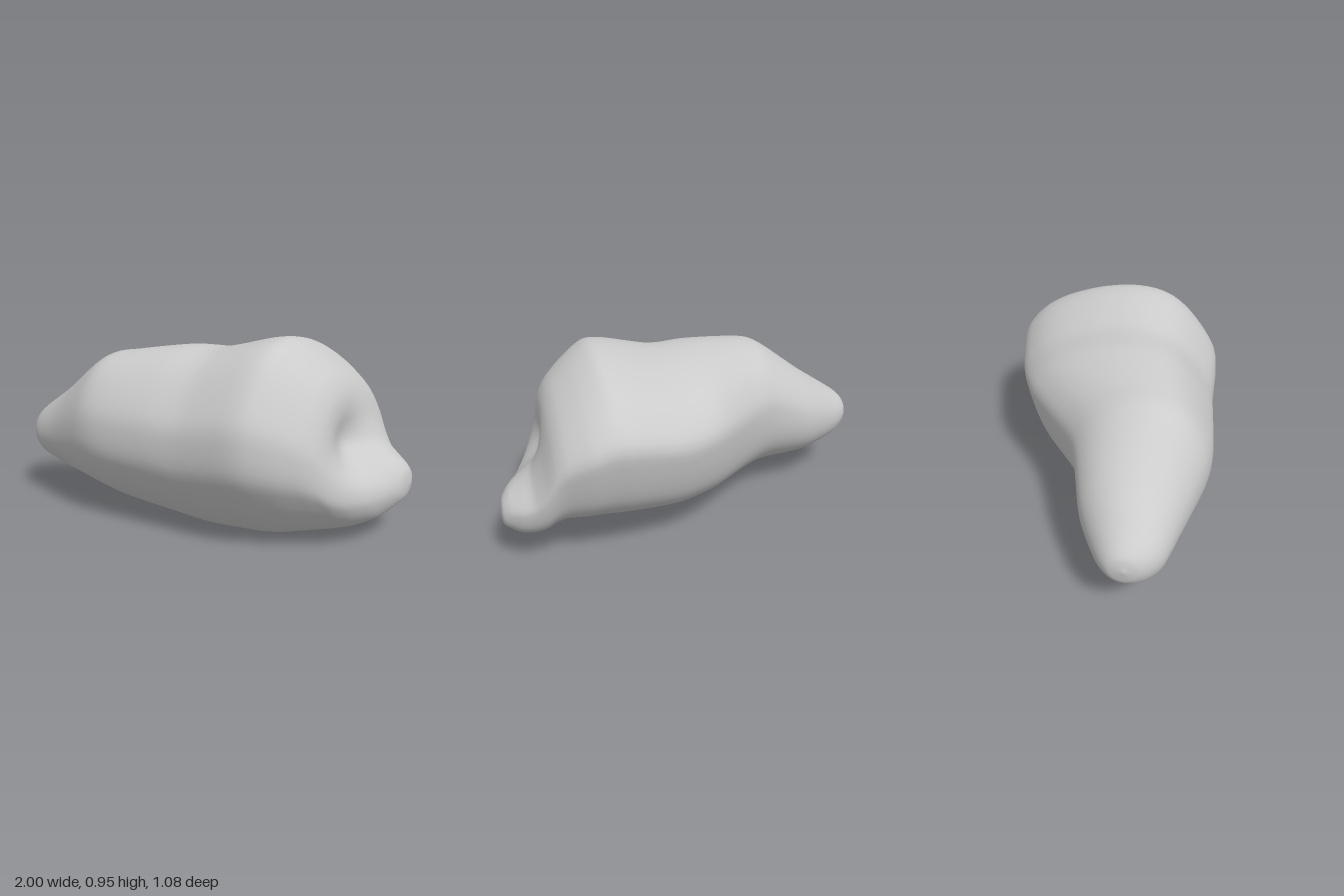
import * as THREE from 'three';
import { mergeVertices } from 'three/addons/utils/BufferGeometryUtils.js';

// Cross-section outline of the thick part: [z, y]
const OUTLINE = [
  [0.54, 0.53], [0.52, 0.62], [0.37, 0.83], [0.25, 0.915], [0.1, 0.945], [-0.07, 0.93], [-0.22, 0.89],
  [-0.35, 0.835], [-0.45, 0.765], [-0.54, 0.645], [-0.53, 0.55], [-0.45, 0.33], [-0.38, 0.25], [-0.27, 0.175],
  [-0.1, 0.08], [0.03, 0.02], [0.155, 0.0], [0.25, 0.035], [0.38, 0.15], [0.46, 0.25], [0.53, 0.37],
];

// Stations along the length: [x, top, bottom, back z, front z, roundness]
const STATIONS = [
  [-1, 0.36, 0.36, 0.2, 0.2, 1],
  [-0.985, 0.42, 0.29, 0.13, 0.265, 1],
  [-0.95, 0.46, 0.245, 0.09, 0.32, 1],
  [-0.88, 0.51, 0.2, 0.045, 0.37, 1],
  [-0.7, 0.63, 0.15, -0.045, 0.43, 0.9],
  [-0.45, 0.81, 0.11, -0.12, 0.515, 0.6],
  [-0.3, 0.845, 0.075, -0.21, 0.535, 0.4],
  [-0.05, 0.878, 0.025, -0.405, 0.525, 0.15],
  [0.15, 0.88, 0, -0.49, 0.515, 0],
  [0.4, 0.94, 0.01, -0.54, 0.52, 0],
  [0.5, 0.942, 0.02, -0.54, 0.505, 0],
  [0.6, 0.88, 0.04, -0.525, 0.455, 0],
  [0.7, 0.79, 0.06, -0.48, 0.38, 0],
  [0.75, 0.71, 0.067, -0.455, 0.33, 0.1],
  [0.8, 0.57, 0.075, -0.43, 0.265, 0.2],
  [0.85, 0.47, 0.09, -0.4, 0.19, 0.3],
  [0.91, 0.41, 0.115, -0.365, 0.08, 0.4],
  [0.96, 0.365, 0.16, -0.32, -0.04, 0.6],
  [0.99, 0.32, 0.2, -0.28, -0.13, 0.9],
  [1, 0.26, 0.26, -0.22, -0.22, 1],
];

const AROUND = 72, ALONG = 110;

// Unit outline in the range -1..1, with its matching circle point
function unitOutline() {
  const curve = new THREE.CatmullRomCurve3(OUTLINE.map(([z, y]) => new THREE.Vector3(z / 0.54, y / 0.4725 - 1, 0)), true);
  return curve.getSpacedPoints(AROUND).slice(0, AROUND).map((p) => {
    const r = Math.hypot(p.x, p.y);
    return { z: p.x, y: p.y, cz: p.x / r, cy: p.y / r };
  });
}

function rockGeometry() {
  const pick = (a, b, c) => new THREE.CatmullRomCurve3(STATIONS.map((s) => new THREE.Vector3(s[a], s[b], s[c])), false, 'catmullrom', 0.4);
  const heights = pick(0, 1, 2), widths = pick(0, 3, 4), rounding = pick(0, 5, 5);
  const outline = unitOutline();
  const positions = [], index = [];
  for (let i = 0; i <= ALONG; i++) {
    const t = i / ALONG;
    const h = heights.getPoint(t), w = widths.getPoint(t);
    const round = THREE.MathUtils.clamp(rounding.getPoint(t).y, 0, 1);
    for (const o of outline) {
      const y = (h.y + h.z) / 2 + ((h.y - h.z) / 2) * THREE.MathUtils.lerp(o.y, o.cy, round);
      const z = (w.y + w.z) / 2 + ((w.z - w.y) / 2) * THREE.MathUtils.lerp(o.z, o.cz, round);
      // Hollow pressed into the blunt end above the lip
      const hollow = Math.exp(-((y - 0.46) ** 2) / 0.018 - ((z - 0.02) ** 2) / 0.022);
      const x = h.x - 0.09 * hollow * THREE.MathUtils.smoothstep(h.x, 0.6, 0.8);
      positions.push(x, y, z);
    }
  }
  for (let i = 0; i < ALONG; i++) {
    for (let j = 0; j < AROUND; j++) {
      const k = (j + 1) % AROUND;
      const a = i * AROUND + j, b = i * AROUND + k;
      const c = a + AROUND, d = b + AROUND;
      index.push(a, c, b, b, c, d);
    }
  }
  let geometry = new THREE.BufferGeometry();
  geometry.setAttribute('position', new THREE.Float32BufferAttribute(positions, 3));
  geometry.setIndex(index);
  geometry = mergeVertices(geometry, 1e-5);
  geometry.computeVertexNormals();
  return geometry;
}

export function createModel() {
  const group = new THREE.Group();
  group.name = 'asteroid';
  const rock = new THREE.Mesh(rockGeometry(), new THREE.MeshStandardMaterial({ color: 0xcccccc }));
  rock.name = 'rockBody';
  group.add(rock);
  return group;
}
